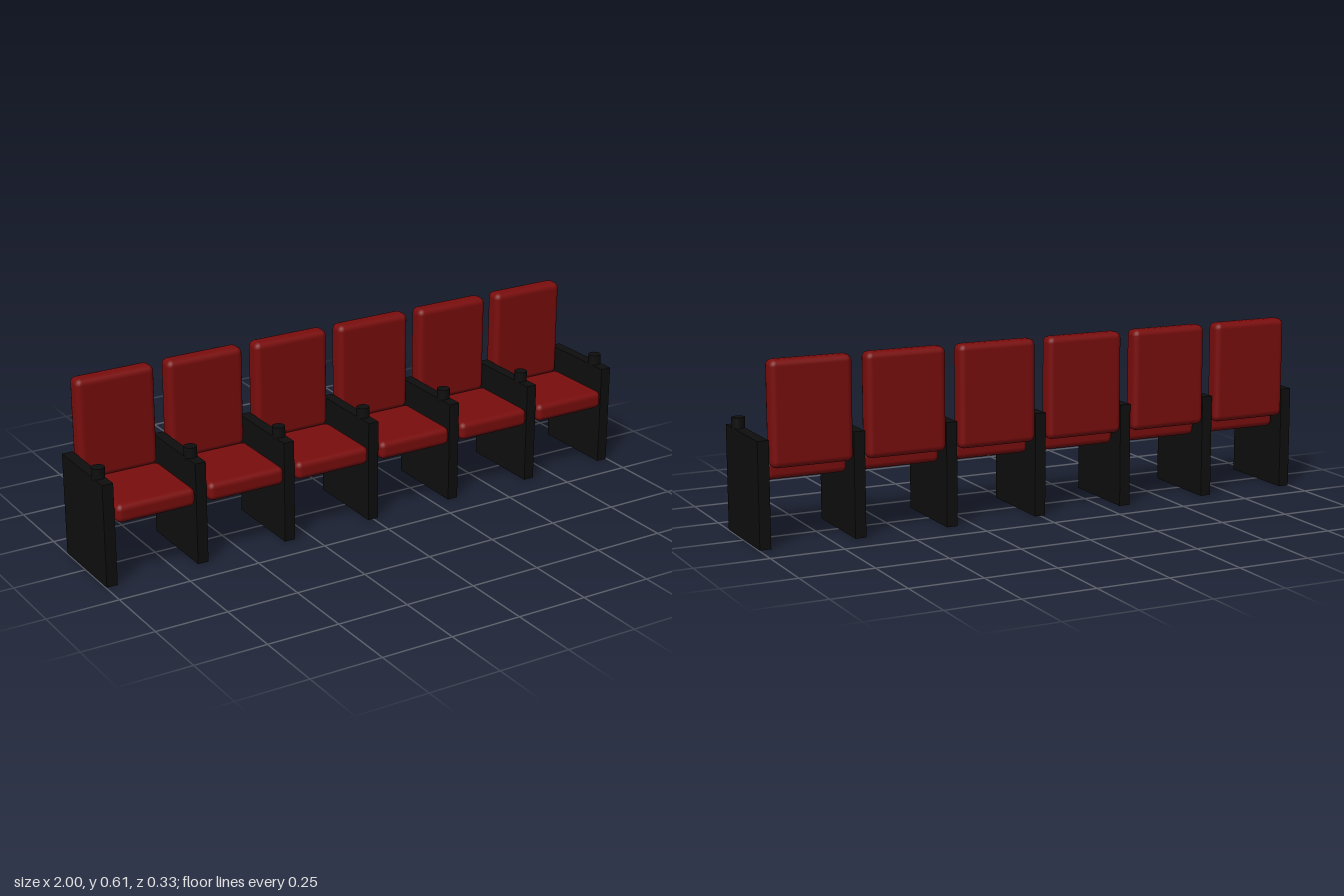
import * as THREE from 'three';
import { RoundedBoxGeometry } from 'three/addons/geometries/RoundedBoxGeometry.js';

const SEATS = 6;
const PITCH = 0.326;

export function createModel() {
  const group = new THREE.Group();
  group.name = 'seatRow';

  const red = new THREE.MeshStandardMaterial({ color: 0x7a0d0d });
  red.name = 'red upholstery';
  const black = new THREE.MeshStandardMaterial({ color: 0x0e0e0e });
  black.name = 'black frame';

  const add = (name, geometry, material, x, y, z) => {
    const mesh = new THREE.Mesh(geometry, material);
    mesh.name = name;
    mesh.position.set(x, y, z);
    group.add(mesh);
  };

  const cushion = new RoundedBoxGeometry(0.278, 0.063, 0.271, 2, 0.02);
  const backrest = new RoundedBoxGeometry(0.278, 0.348, 0.064, 2, 0.021);
  const panel = new THREE.BoxGeometry(0.038, 0.353, 0.3);
  const cup = new THREE.CylinderGeometry(0.022, 0.022, 0.043, 20);

  // Upholstered seats
  for (let i = 0; i < SEATS; i++) {
    const x = (i - (SEATS - 1) / 2) * PITCH;
    add('seatCushion', cushion, red, x, 0.2435, 0.0305);
    add('backrest', backrest, red, x, 0.434, -0.133);
  }

  // Armrest panels, each with a cup holder near the front
  for (let i = 0; i <= SEATS; i++) {
    const x = (i - SEATS / 2) * PITCH;
    add('armrestPanel', panel, black, x, 0.1765, 0.003);
    add('cupHolder', cup, black, x, 0.3665, 0.085);
  }

  return group;
}
